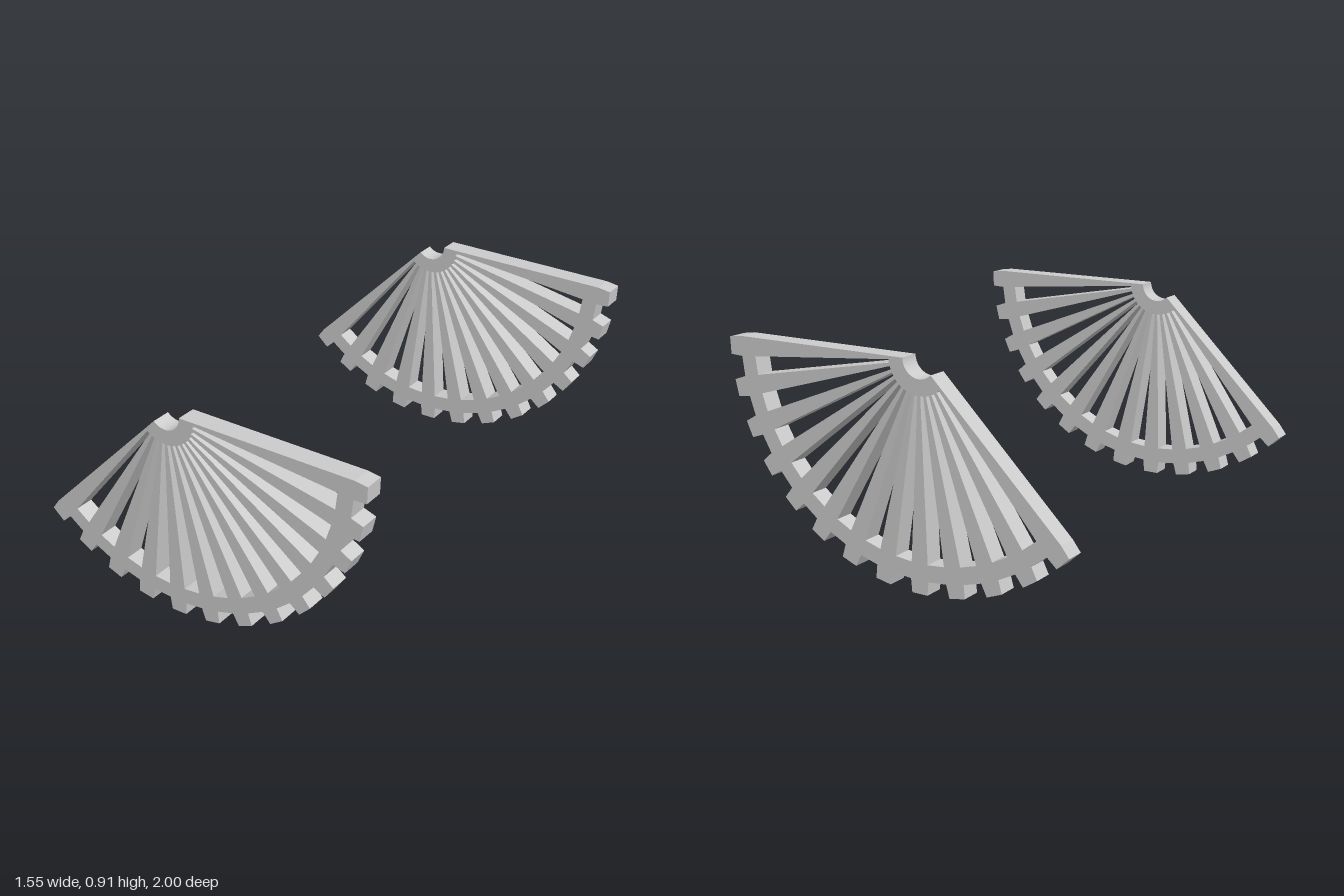
import * as THREE from 'three';

const CENTRE_X = -0.137, CENTRE_Y = 0.91;
const TEETH = 13;
const STEP = 5.4;                 // degrees: each spoke and each window is one step wide
const R_BORE = 0.073, R_HUB = 0.137, R_WINDOW = 0.787, R_RIM = 0.855, R_TIP = 0.91;
const DEPTH = 0.083;

// Point at a radius and an angle measured clockwise from +x
function polar(radius, degrees) {
  const a = THREE.MathUtils.degToRad(-degrees);
  return new THREE.Vector2(CENTRE_X + radius * Math.cos(a), CENTRE_Y + radius * Math.sin(a));
}

// Toothed sector outline with wedge-shaped windows between the spokes
function sectorShape() {
  const outline = [];
  const segments = TEETH * 2 - 1;
  for (let i = 0; i < TEETH; i++) {
    const start = i * 2 * STEP, end = start + STEP;
    outline.push(polar(R_RIM, start), polar(R_TIP, start + 0.5), polar(R_TIP, end - 0.5), polar(R_RIM, end));
  }
  // Half-round bearing seat at the hub
  for (let i = segments; i >= 0; i--) outline.push(polar(R_BORE, i * STEP));

  const shape = new THREE.Shape(outline);
  for (let i = 0; i < TEETH - 1; i++) {
    const a = (i * 2 + 1) * STEP, b = a + STEP;
    shape.holes.push(new THREE.Path([
      polar(R_HUB, a), polar(R_HUB, b), polar(R_WINDOW, b), polar(R_WINDOW, a),
    ]));
  }
  return shape;
}

export function createModel() {
  const group = new THREE.Group();
  group.name = 'gearSectorPair';
  const material = new THREE.MeshStandardMaterial({ color: 0xcccccc, flatShading: true });
  const geometry = new THREE.ExtrudeGeometry(sectorShape(), { depth: DEPTH, bevelEnabled: false });

  // Two identical sectors, one at each end
  for (const [name, z] of [['frontGearSector', 1 - DEPTH], ['backGearSector', -1]]) {
    const sector = new THREE.Mesh(geometry, material);
    sector.name = name;
    sector.position.z = z;
    group.add(sector);
  }
  return group;
}
